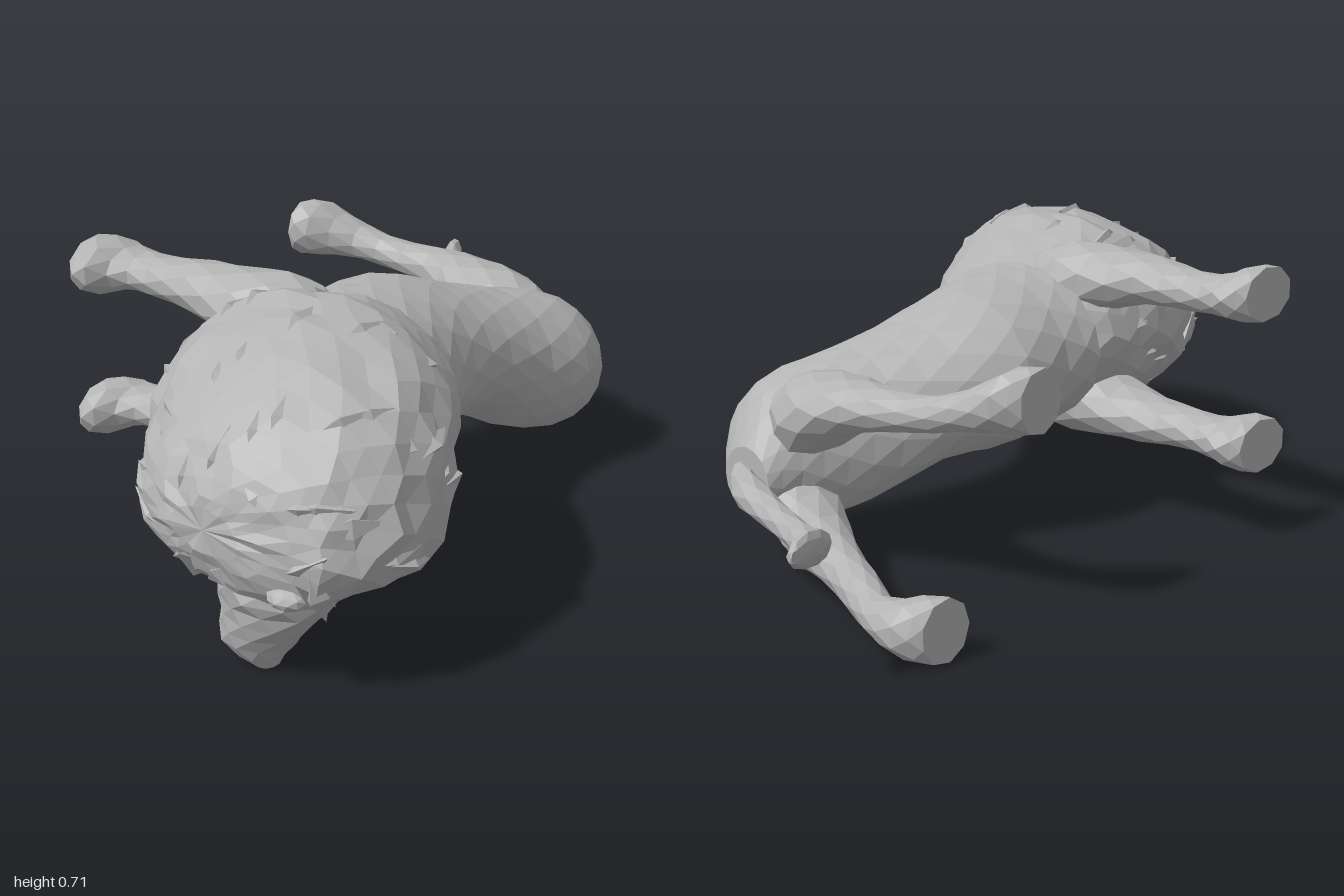
import * as THREE from 'three';

const fur = new THREE.MeshStandardMaterial({ color: 0xb4b4b4, flatShading: true });
fur.name = 'grey fur';

// Seeded random in -1..1
let seed = 7;
const rand = () => {
  seed = (seed * 16807) % 2147483647;
  return (seed / 2147483647) * 2 - 1;
};

// Smooth skin over elliptical sections [x, y, z, r1, r2]; the rings lie across the given axis.
// swell(angle, t) widens the ellipse, rough adds random tufts.
function loft(sections, axis, sides, steps, rough = 0, swell = () => 1) {
  const at = (t) => {
    const f = t * (sections.length - 1);
    const i = Math.min(Math.floor(f), sections.length - 2), u = f - i;
    const s = (k) => sections[Math.max(0, Math.min(sections.length - 1, k))];
    return sections[0].map((_, k) => {
      const [a, b, c, d] = [s(i - 1)[k], s(i)[k], s(i + 1)[k], s(i + 2)[k]];
      return b + 0.5 * u * (c - a + u * (2 * a - 5 * b + 4 * c - d + u * (3 * (b - c) + d - a)));
    });
  };
  const pos = [], index = [];
  for (let i = 0; i <= steps; i++) {
    const [x, y, z, r1, r2] = at(i / steps);
    for (let j = 0; j < sides; j++) {
      const a = ((j + (i % 2) * 0.5) / sides) * Math.PI * 2;
      const k = swell(a, i / steps) * (1 + rough * rand());
      const c = Math.cos(a) * r1 * k, s = Math.sin(a) * r2 * k;
      if (axis === 'x') pos.push(x + rough * 0.2 * rand(), y + c, z + s);
      else if (axis === 'y') pos.push(x + c, y, z + s);
      else pos.push(x + c, y + s, z);
    }
  }
  const quad = (i, j) => {
    const n = (j + 1) % sides, p = i * sides, q = p + sides;
    if (i % 2) index.push(p + j, p + n, q + n, p + j, q + n, q + j);
    else index.push(p + j, p + n, q + j, p + n, q + n, q + j);
  };
  for (let i = 0; i < steps; i++) for (let j = 0; j < sides; j++) quad(i, j);
  // End caps
  const first = pos.length / 3;
  pos.push(...sections[0].slice(0, 3), ...sections.at(-1).slice(0, 3));
  for (let j = 0; j < sides; j++) {
    const n = (j + 1) % sides, q = steps * sides;
    index.push(first, n, j, first + 1, q + j, q + n);
  }
  // Turn the faces outward when the enclosed volume is negative
  const v = (k) => new THREE.Vector3().fromArray(pos, k * 3);
  let volume = 0;
  for (let i = 0; i < index.length; i += 3)
    volume += v(index[i]).dot(v(index[i + 1]).cross(v(index[i + 2])));
  if (volume < 0) index.reverse();
  const g = new THREE.BufferGeometry();
  g.setAttribute('position', new THREE.Float32BufferAttribute(pos, 3));
  g.setIndex(index);
  g.computeVertexNormals();
  return g;
}

export function createModel() {
  seed = 7;
  const model = new THREE.Group();
  model.name = 'lion';
  const add = (name, geometry, parent = model) => {
    const mesh = new THREE.Mesh(geometry, fur);
    mesh.name = name;
    parent.add(mesh);
    return mesh;
  };

  // Trunk from shoulders to rump, spine towards +z
  add('body', loft([
    [-0.27, 0.425, 0.055, 0.205, 0.275], [-0.15, 0.41, 0.03, 0.21, 0.255],
    [0, 0.4, 0, 0.2, 0.24], [0.15, 0.37, 0.03, 0.175, 0.215], [0.3, 0.31, 0.08, 0.19, 0.19],
    [0.42, 0.28, 0.125, 0.19, 0.175], [0.52, 0.26, 0.14, 0.155, 0.14], [0.6, 0.23, 0.11, 0.08, 0.08],
  ], 'x', 16, 14));

  // Shaggy mane, fuller around the cheek on the side the head turns to
  const mane = new THREE.Group();
  mane.name = 'mane';
  model.add(mane);
  const fuller = (a, t) => {
    const fade = THREE.MathUtils.clamp((0.75 - t) / 0.2, 0, 1);
    return 1 + (Math.sin(a) > 0 ? 0.2 * fade * Math.max(0, -Math.sin(2 * a)) : 0);
  };
  const maneSkin = loft([
    [-0.985, 0.36, 0.24, 0.05, 0.09], [-0.95, 0.36, 0.26, 0.13, 0.23], [-0.88, 0.39, 0.26, 0.18, 0.29],
    [-0.75, 0.42, 0.23, 0.235, 0.355], [-0.6, 0.445, 0.185, 0.255, 0.38], [-0.45, 0.45, 0.14, 0.255, 0.355],
    [-0.3, 0.435, 0.095, 0.215, 0.3], [-0.17, 0.42, 0.045, 0.18, 0.235],
  ], 'x', 24, 18, 0.035, fuller);
  add('maneCoat', maneSkin, mane);

  // Locks lying back along the mane
  const p = maneSkin.attributes.position, n = maneSkin.attributes.normal;
  const lock = new THREE.OctahedronGeometry(1).scale(0.03, 0.08, 0.03);
  const up = new THREE.Vector3(0, 1, 0);
  for (let i = 50; i < 24 * 14; i += 5) {
    const normal = new THREE.Vector3().fromBufferAttribute(n, i);
    const flow = new THREE.Vector3(1, 0.4 * rand(), 0.4 * rand());
    flow.addScaledVector(normal, -flow.dot(normal)).normalize().addScaledVector(normal, 0.1).normalize();
    const mesh = add('maneLock', lock, mane);
    mesh.position.fromBufferAttribute(p, i).addScaledVector(normal, -0.019);
    mesh.quaternion.setFromUnitVectors(up, flow);
  }

  // Head turned to the side, muzzle pointing down to y = 0
  add('head', loft([
    [-0.83, 0.26, 0.32, 0.11, 0.14], [-0.83, 0.21, 0.315, 0.125, 0.15], [-0.835, 0.16, 0.305, 0.105, 0.13],
    [-0.84, 0.1, 0.275, 0.09, 0.105], [-0.84, 0.045, 0.255, 0.07, 0.08], [-0.84, 0, 0.28, 0.03, 0.025],
  ], 'y', 10, 8, 0.04));
  for (const side of [-1, 1]) {
    const ear = add('ear', new THREE.IcosahedronGeometry(0.045, 1));
    ear.position.set(-0.83 + side * 0.11, 0.25, 0.43);
    ear.scale.set(1, 0.6, 1.1);
  }

  // Front legs, mirrored across the middle of the chest
  const front = [
    [-0.35, 0.56, 0.06, 0.08, 0.08], [-0.36, 0.575, -0.04, 0.12, 0.11], [-0.38, 0.6, -0.17, 0.11, 0.08],
    [-0.385, 0.615, -0.3, 0.085, 0.06], [-0.38, 0.61, -0.42, 0.07, 0.05], [-0.385, 0.615, -0.51, 0.075, 0.05],
    [-0.42, 0.62, -0.565, 0.11, 0.07], [-0.43, 0.625, -0.607, 0.09, 0.068],
  ];
  add('rightFrontLeg', loft(front, 'z', 9, 12));
  add('leftFrontLeg', loft(front.map(([x, y, ...r]) => [x, 0.87 - y, ...r]), 'z', 9, 12));

  // Hind legs, one stepping forward and one back
  add('rightHindLeg', loft([
    [0.43, 0.36, 0.12, 0.1, 0.09], [0.445, 0.375, 0.03, 0.13, 0.11], [0.46, 0.42, -0.09, 0.115, 0.075],
    [0.475, 0.445, -0.2, 0.072, 0.055], [0.465, 0.46, -0.35, 0.05, 0.042], [0.435, 0.49, -0.47, 0.055, 0.05],
    [0.385, 0.52, -0.555, 0.085, 0.075], [0.36, 0.52, -0.602, 0.065, 0.075],
  ], 'z', 9, 13));
  add('leftHindLeg', loft([
    [0.44, 0.2, 0.15, 0.09, 0.08], [0.475, 0.16, 0.06, 0.11, 0.095], [0.53, 0.115, -0.07, 0.09, 0.07],
    [0.575, 0.09, -0.2, 0.06, 0.052], [0.635, 0.08, -0.34, 0.055, 0.048], [0.685, 0.075, -0.45, 0.05, 0.045],
    [0.665, 0.075, -0.545, 0.085, 0.072], [0.64, 0.075, -0.597, 0.07, 0.075],
  ], 'z', 9, 13));

  // Tail with a tuft at the tip
  add('tail', loft([
    [0.56, 0.235, 0.17, 0.035, 0.04], [0.62, 0.22, 0.09, 0.045, 0.045], [0.665, 0.215, -0.04, 0.04, 0.035],
    [0.71, 0.215, -0.17, 0.035, 0.032], [0.765, 0.225, -0.31, 0.042, 0.034], [0.83, 0.265, -0.41, 0.04, 0.035],
    [0.9, 0.3, -0.475, 0.05, 0.043], [0.95, 0.315, -0.51, 0.045, 0.037], [0.99, 0.32, -0.535, 0.012, 0.015],
  ], 'z', 7, 14));

  return model;
}
